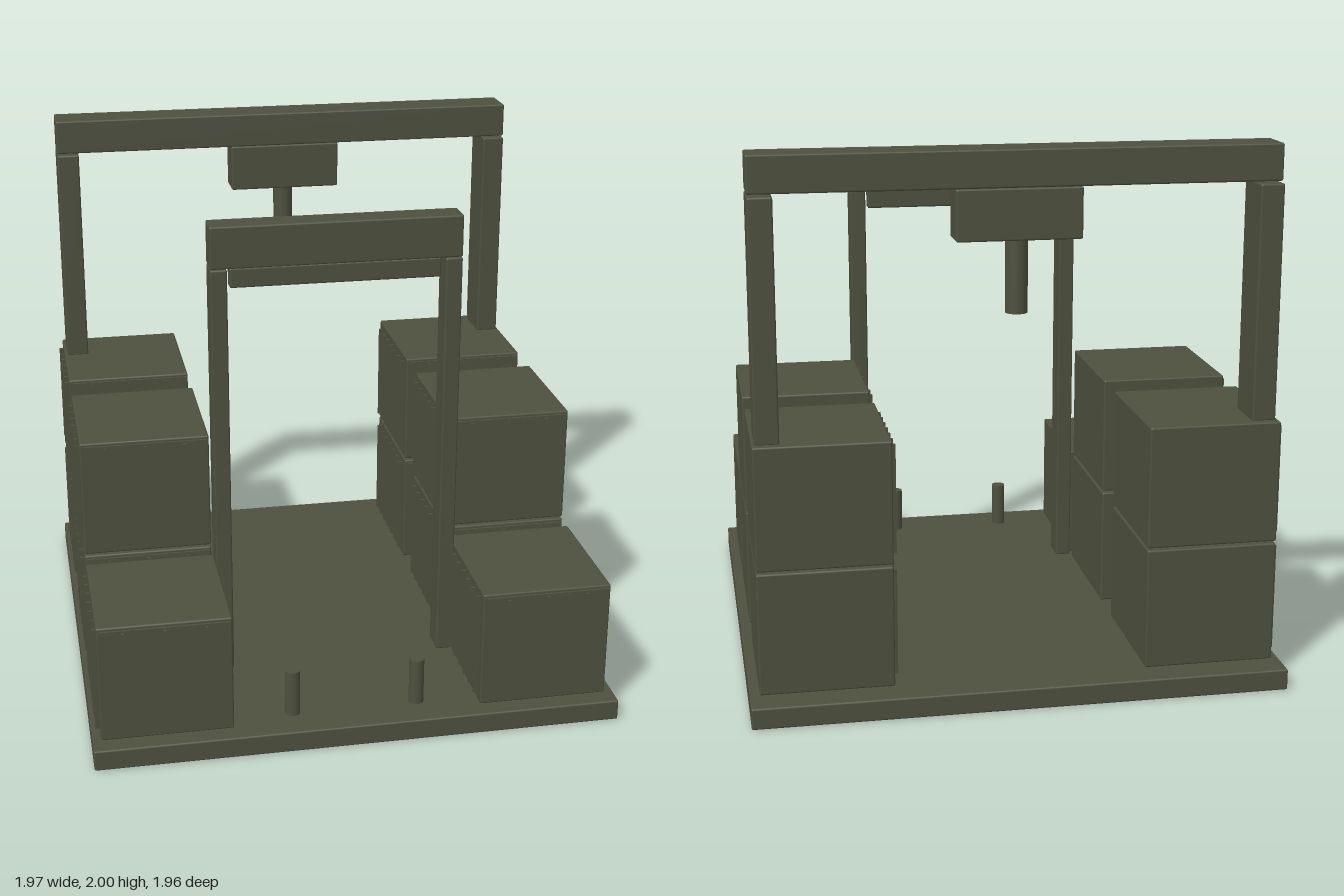
import * as THREE from 'three';
import { RoundedBoxGeometry } from 'three/addons/geometries/RoundedBoxGeometry.js';

const olive = new THREE.MeshStandardMaterial({ color: 0x4d503e });
olive.name = 'olive';

// Softly bevelled box given by its extents on each axis
function block(parent, name, [x0, x1], [y0, y1], [z0, z1], radius = 0.007) {
  const w = x1 - x0, h = y1 - y0, d = z1 - z0;
  const geometry = radius > 0
    ? new RoundedBoxGeometry(w, h, d, 2, radius)
    : new THREE.BoxGeometry(w, h, d);
  const mesh = new THREE.Mesh(geometry, olive);
  mesh.name = name;
  mesh.position.set((x0 + x1) / 2, (y0 + y1) / 2, (z0 + z1) / 2);
  parent.add(mesh);
  return mesh;
}

// Upright round bar
function bar(parent, name, radius, x, [y0, y1], z) {
  const mesh = new THREE.Mesh(new THREE.CylinderGeometry(radius, radius, y1 - y0, 24), olive);
  mesh.name = name;
  mesh.position.set(x, (y0 + y1) / 2, z);
  parent.add(mesh);
}

// Container with ribs down one long side and on the front doors
function container(name) {
  const group = new THREE.Group();
  group.name = name;
  const hw = 0.243, h = 0.455, hd = 0.26;
  block(group, 'containerBody', [-hw, hw], [0, h], [-hd, hd]);
  block(group, 'doorPanel', [-hw + 0.008, hw - 0.008], [0.012, h - 0.012], [hd - 0.005, hd + 0.009], 0);
  for (let i = -1; i <= 1; i++) {
    const x = i * 0.15;
    block(group, 'doorRib', [x - 0.005, x + 0.005], [0.02, h - 0.02], [hd + 0.008, hd + 0.02], 0);
  }
  for (let i = -3; i <= 3; i++) {
    const z = i * 0.0705;
    block(group, 'sideRib', [-hw - 0.016, -hw + 0.002], [0.027, h - 0.025], [z - 0.006, z + 0.006], 0);
  }
  return group;
}

export function createModel() {
  const model = new THREE.Group();
  model.name = 'containerYard';

  block(model, 'platform', [-0.983, 0.983], [0, 0.08], [-0.979, 0.979]);

  // Container stacks: one high at the front, two high behind
  const stacks = [
    { row: 'front', z: 0.654, levels: 1 },
    { row: 'middle', z: 0.067, levels: 2 },
    { row: 'rear', z: -0.617, levels: 2 },
  ];
  for (const [side, x] of [['Right', -0.709], ['Left', 0.704]]) {
    for (const { row, z, levels } of stacks) {
      for (let level = 0; level < levels; level++) {
        const box = container(`${row}${side}Container`);
        box.position.set(x, 0.083 + level * 0.463, z);
        model.add(box);
      }
    }
  }

  // Front gate
  const gate = new THREE.Group();
  gate.name = 'frontGate';
  const gateZ = [0.365, 0.473];
  block(gate, 'gatePostRight', [-0.466, -0.404], [0.08, 1.693], gateZ);
  block(gate, 'gatePostLeft', [0.402, 0.464], [0.08, 1.693], gateZ);
  block(gate, 'gateBeam', [-0.466, 0.464], [1.695, 1.853], gateZ);
  block(gate, 'gateLintel', [-0.392, 0.39], [1.615, 1.69], [0.392, 0.446]);
  model.add(gate);

  // Rear gantry crane standing on the rear stacks
  const crane = new THREE.Group();
  crane.name = 'gantryCrane';
  block(crane, 'cranePostRight', [-0.94, -0.853], [0.998, 1.86], [-0.847, -0.667]);
  block(crane, 'cranePostLeft', [0.85, 0.937], [0.998, 1.86], [-0.847, -0.667]);
  block(crane, 'craneBeam', [-0.94, 0.937], [1.866, 2], [-0.826, -0.672]);
  block(crane, 'trolley', [-0.224, 0.224], [1.68, 1.864], [-0.815, -0.683]);
  bar(crane, 'hoist', 0.04, 0, [1.415, 1.69], -0.749);
  model.add(crane);

  // Bollards at the front edge
  for (const x of [-0.237, 0.233]) bar(model, 'bollard', 0.028, x, [0.078, 0.26], 0.838);

  return model;
}
